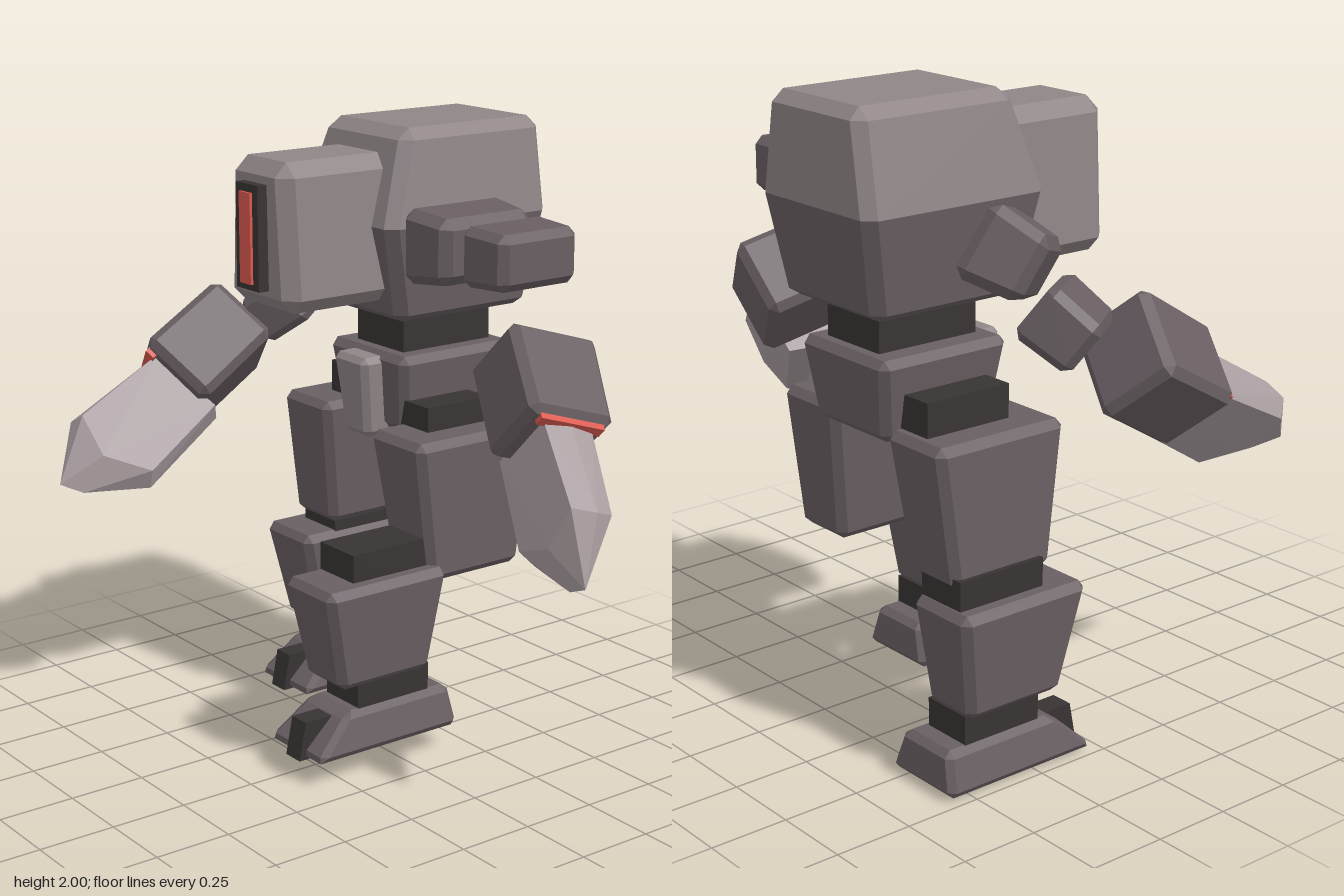
import * as THREE from 'three';
import { ConvexGeometry } from 'three/addons/geometries/ConvexGeometry.js';

const mat = (name, color) => {
  const m = new THREE.MeshStandardMaterial({ color });
  m.name = name;
  return m;
};

export function createModel() {
  const model = new THREE.Group();
  model.name = 'robot';
  const light = mat('light grey armour', 0x8f8587);
  const armour = mat('grey armour', 0x695f63);
  const dark = mat('dark joint', 0x393434);
  const bladeGrey = mat('pale blade', 0xa99da0);
  const red = mat('red glow', 0xdb594f);

  const hull = (parent, name, material, points) => {
    const mesh = new THREE.Mesh(new ConvexGeometry(points), material);
    mesh.name = name;
    parent.add(mesh);
    return mesh;
  };

  // Tapered box with cut edges; lo and hi are [x0, x1, y, z0, z1]
  const block = (parent, name, material, lo, hi, b = 0.025, bLo = b, bHi = b) => {
    const pts = [];
    const h = hi[2] - lo[2];
    for (const top of [0, 1]) for (const sx of [0, 1]) for (const sz of [0, 1]) {
      const by = top ? bHi : bLo;
      const cuts = b === 0 ? [[0, 0, 0]] : by === 0 ? [[0, 0, b], [b, 0, 0]] : [[0, by, b], [b, 0, b], [b, by, 0]];
      for (const [ix, iy, iz] of cuts) {
        const t = top ? 1 - iy / h : iy / h;
        const r = lo.map((v, i) => v + (hi[i] - v) * t);
        pts.push(new THREE.Vector3(sx ? r[1] - ix : r[0] + ix, r[2], sz ? r[4] - iz : r[3] + iz));
      }
    }
    return hull(parent, name, material, pts);
  };
  const box = (parent, name, material, x0, x1, y0, y1, z0, z1) =>
    block(parent, name, material, [x0, x1, y0, z0, z1], [x0, x1, y1, z0, z1], 0);

  // Torso
  block(model, 'torsoUpper', light, [-0.523, -0.003, 1.7, -0.7, -0.05], [-0.466, -0.042, 2, -0.692, -0.142], 0.035, 0);
  block(model, 'torsoLower', armour, [-0.482, -0.033, 1.39, -0.64, -0.115], [-0.523, -0.003, 1.7, -0.7, -0.05], 0.035, 0.025, 0);

  // Head and visor
  block(model, 'head', light, [-0.44, -0.085, 1.455, -0.2, 0.27], [-0.41, -0.115, 1.92, -0.2, 0.275], 0.045);
  box(model, 'visorFrame', dark, -0.32, -0.2, 1.52, 1.85, 0.24, 0.308);
  box(model, 'visorLight', red, -0.29, -0.23, 1.54, 1.825, 0.3, 0.317);

  // Waist and pelvis
  box(model, 'waist', dark, -0.375, -0.13, 1.2, 1.45, -0.555, -0.2);
  block(model, 'pelvis', armour, [-0.42, -0.085, 1.01, -0.57, -0.17], [-0.465, -0.055, 1.27, -0.61, -0.14], 0.025);
  block(model, 'pelvisGuard', light, [-0.32, -0.19, 0.985, -0.2, -0.1], [-0.345, -0.17, 1.255, -0.2, -0.07], 0.02);

  // Hips and thighs
  box(model, 'leftHip', dark, -0.14, 0.038, 0.98, 1.125, -0.42, -0.17);
  box(model, 'rightHip', dark, -0.55, -0.42, 0.98, 1.16, -0.52, -0.22);
  block(model, 'leftThigh', armour, [-0.065, 0.148, 0.58, -0.47, -0.105], [-0.115, 0.154, 1.045, -0.53, -0.045]);
  block(model, 'rightThigh', armour, [-0.67, -0.45, 0.615, -0.51, -0.15], [-0.66, -0.405, 1.055, -0.565, -0.09]);

  // Lower legs: the right one is mirrored, lower and further back
  for (const side of ['left', 'right']) {
    const at = ([x0, x1, y, z0, z1]) =>
      side === 'left' ? [x0, x1, y, z0, z1] : [-0.56 - x1, -0.56 - x0, y - 0.072, z0 - 0.39, z1 - 0.39];
    const part = (name, material, lo, hi, b) => block(model, side + name, material, at(lo), at(hi), b);
    part('Knee', dark, [-0.05, 0.125, 0.5, -0.12, 0.19], [-0.05, 0.125, 0.73, -0.12, 0.19], 0);
    part('Shin', armour, [-0.05, 0.15, 0.295, -0.1, 0.25], [-0.07, 0.185, 0.64, -0.15, 0.325], 0.025);
    part('Ankle', dark, [-0.04, 0.128, 0.2, -0.105, 0.175], [-0.04, 0.128, 0.31, -0.105, 0.175], 0);
    part('Foot', armour, [-0.113, 0.181, 0.085, -0.195, 0.365], [-0.07, 0.145, 0.22, -0.18, 0.22], 0.02);
    part('Toe', dark, [0.008, 0.082, 0.073, 0.11, 0.37], [0.008, 0.082, 0.197, 0.15, 0.345], 0);
  }

  // Group whose y runs along an arm piece and whose x runs across its wide side
  const frame = (name, centre, along, across) => {
    const y = new THREE.Vector3(...along).normalize();
    const x = new THREE.Vector3(...across);
    x.addScaledVector(y, -x.dot(y)).normalize();
    const g = new THREE.Group();
    g.name = name;
    g.quaternion.setFromRotationMatrix(new THREE.Matrix4().makeBasis(x, y, x.clone().cross(y)));
    g.position.set(...centre);
    model.add(g);
    return g;
  };

  const bladePoints = () => {
    const pts = [];
    for (const n of [-1, 1]) {
      pts.push([-0.085, 0.15, 0.085 * n], [0.17, 0.14, 0.08 * n]);
      pts.push([-0.105, 0.48, 0.07 * n], [0.04, 0.53, 0.07 * n], [0.185, 0.45, 0.065 * n]);
    }
    pts.push([-0.1, 0.15, 0], [0.19, 0.14, 0], [-0.13, 0.5, 0], [0.21, 0.475, 0]);
    pts.push([0, 0.68, 0], [0.072, 0.645, 0]);
    return pts.map((p) => new THREE.Vector3(...p));
  };

  const arms = [
    { side: 'left', shoulder: [0.135, 1.66, -0.25], upper: [0.377, 1.662, -0.25],
      dir: [1, 0, 0], wide: [0, 0, 1], upperDir: [1, 0, 0], upperWide: [0, 0, 1],
      fore: [0.497, 1.25, -0.245], along: [0.69, -0.63, 0.35], across: [-0.66, -0.71, 0.06] },
    { side: 'right', shoulder: [-0.595, 1.553, -0.25], upper: [-0.705, 1.36, -0.14],
      dir: [-0.72, -0.42, 0.48], wide: [0.62, -0.26, 0.72], upperDir: [-0.65, -0.6, 0.45], upperWide: [0.57, -0.15, 0.8],
      fore: [-0.785, 1.19, 0.14], along: [0.05, -0.51, 0.86], across: [0.66, -0.61, -0.42] },
  ];
  for (const a of arms) {
    // Shoulder and upper arm blocks
    const s = frame(a.side + 'ShoulderJoint', a.shoulder, a.dir, a.wide);
    block(s, a.side + 'Shoulder', armour, [-0.195, 0.195, -0.1, -0.12, 0.12], [-0.175, 0.175, 0.1, -0.1, 0.1], 0.03);
    const u = frame(a.side + 'UpperArmJoint', a.upper, a.upperDir, a.upperWide);
    block(u, a.side + 'UpperArm', armour, [-0.16, 0.16, -0.097, -0.094, 0.094], [-0.15, 0.15, 0.097, -0.085, 0.085], 0.025);
    // Forearm, glowing strip along one edge of its end, and blade
    const f = frame(a.side + 'ForearmJoint', a.fore, a.along, a.across);
    block(f, a.side + 'Forearm', armour, [-0.13, 0.135, -0.17, -0.155, 0.155], [-0.135, 0.14, 0.165, -0.145, 0.145], 0.025);
    box(f, a.side + 'Strip', red, -0.115, -0.08, 0.15, 0.18, -0.11, 0.11);
    hull(f, a.side + 'Blade', bladeGrey, bladePoints());
  }
  return model;
}
